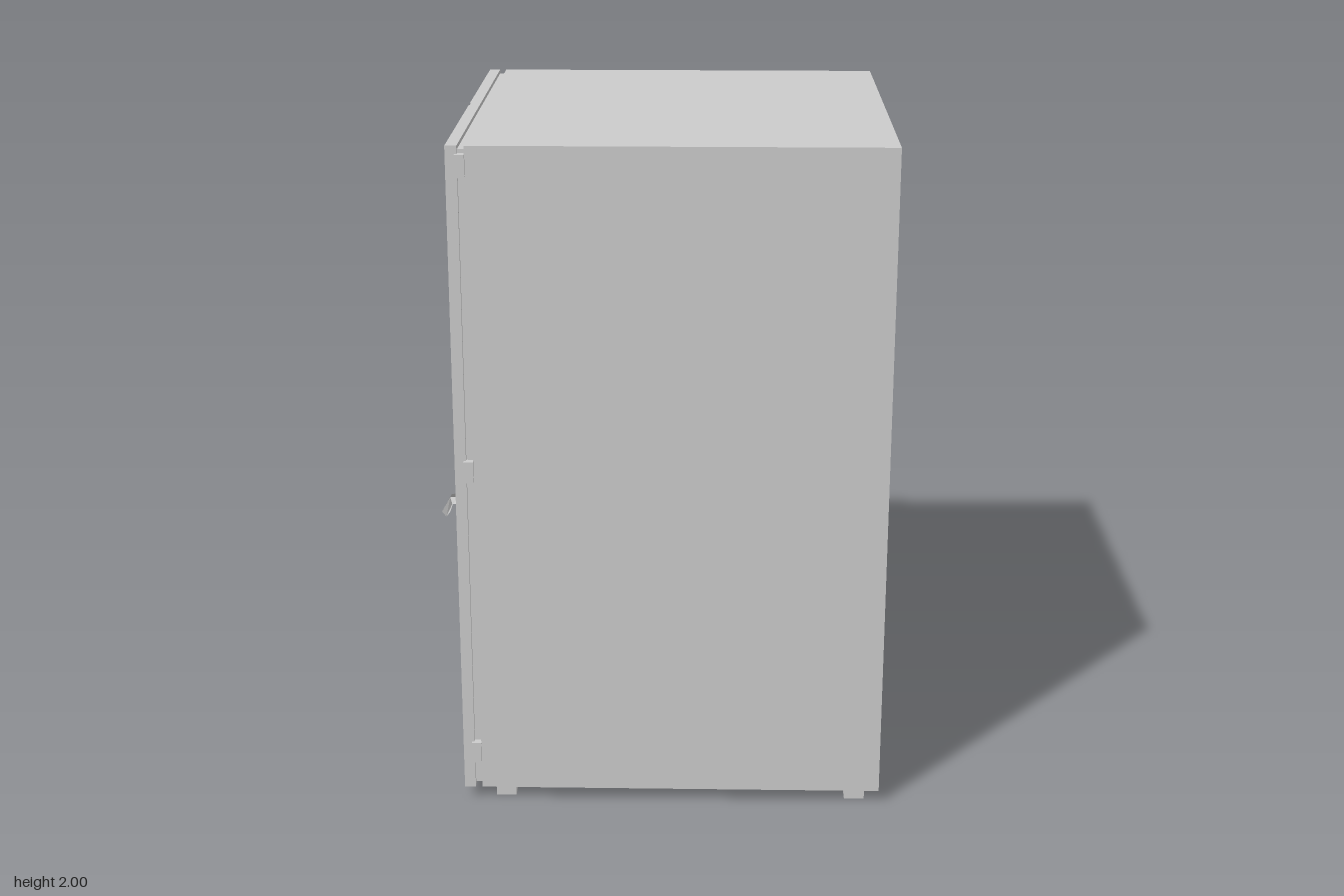
import * as THREE from 'three';

const material = new THREE.MeshStandardMaterial({ color: 0xcccccc, flatShading: true });

// Box given by its limits on each axis
function box(name, [x0, x1], [y0, y1], [z0, z1]) {
  const mesh = new THREE.Mesh(new THREE.BoxGeometry(x1 - x0, y1 - y0, z1 - z0), material);
  mesh.position.set((x0 + x1) / 2, (y0 + y1) / 2, (z0 + z1) / 2);
  mesh.name = name;
  return mesh;
}

// Diamond-section bar lofted through [outer x, outer z, inner x, inner z] sections
function diamondBar(sections, halfHeight) {
  const positions = [], index = [];
  for (const [ax, az, bx, bz] of sections) {
    const mx = (ax + bx) / 2, mz = (az + bz) / 2;
    positions.push(ax, 0, az, mx, halfHeight, mz, bx, 0, bz, mx, -halfHeight, mz);
  }
  for (let s = 0; s < sections.length - 1; s++) {
    for (let k = 0; k < 4; k++) {
      const a = s * 4 + k, b = s * 4 + (k + 1) % 4;
      index.push(a, b, a + 4, b, b + 4, a + 4);
    }
  }
  const e = (sections.length - 1) * 4;
  index.push(0, 2, 1, 0, 3, 2, e, e + 1, e + 2, e, e + 2, e + 3);
  const geometry = new THREE.BufferGeometry();
  geometry.setAttribute('position', new THREE.Float32BufferAttribute(positions, 3));
  geometry.setIndex(index);
  const flat = geometry.toNonIndexed();
  flat.computeVertexNormals();
  return flat;
}

// Handle: diamond plate on the door and a bent lever
function createHandle() {
  const handle = new THREE.Group();
  const plate = new THREE.Mesh(new THREE.CylinderGeometry(0.058, 0.058, 0.014, 4), material);
  plate.rotation.z = Math.PI / 2;
  plate.position.set(-0.585, 0, 0.148);
  plate.name = 'handlePlate';
  const lever = new THREE.Mesh(diamondBar([
    [-0.585, 0.126, -0.585, 0.166],
    [-0.618, 0.126, -0.622, 0.166],
    [-0.658, 0.136, -0.643, 0.166],
    [-0.669, 0.26, -0.643, 0.26],
  ], 0.017), material);
  lever.name = 'handleLever';
  handle.add(plate, lever);
  handle.position.y = 0.785;
  return handle;
}

export function createModel() {
  const model = new THREE.Group();
  model.name = 'cabinet';

  // Body and the recessed frame behind the doors
  model.add(box('body', [-0.525, 0.67], [0.04, 2], [-0.635, 0.635]));
  model.add(box('doorFrame', [-0.546, -0.525], [0.052, 1.988], [-0.623, 0.623]));
  // Narrow strip where the doors meet
  model.add(box('centreStrip', [-0.574, -0.545], [0.04, 2], [-0.013, 0.013]));

  for (const side of [1, -1]) {
    const span = (a, b) => (side > 0 ? [a, b] : [-b, -a]);
    const label = side > 0 ? 'front' : 'back';
    model.add(box(label + 'Door', [-0.578, -0.545], [0.04, 2], span(0.013, 0.635)));

    // Three hinges per door
    for (const y of [0.16, 1.053, 1.945]) {
      model.add(box(label + 'Hinge', [-0.552, -0.524], [y - 0.032, y + 0.032], span(0.62, 0.646)));
    }
    // Feet
    for (const x of [-0.455, 0.598]) {
      model.add(box(label + 'Foot', [x - 0.03, x + 0.03], [0, 0.04], span(0.55, 0.609)));
    }
    // A half turn mirrors the handle, which is symmetric in height
    const handle = createHandle();
    handle.name = label + 'Handle';
    if (side < 0) handle.rotation.x = Math.PI;
    model.add(handle);
  }
  return model;
}
